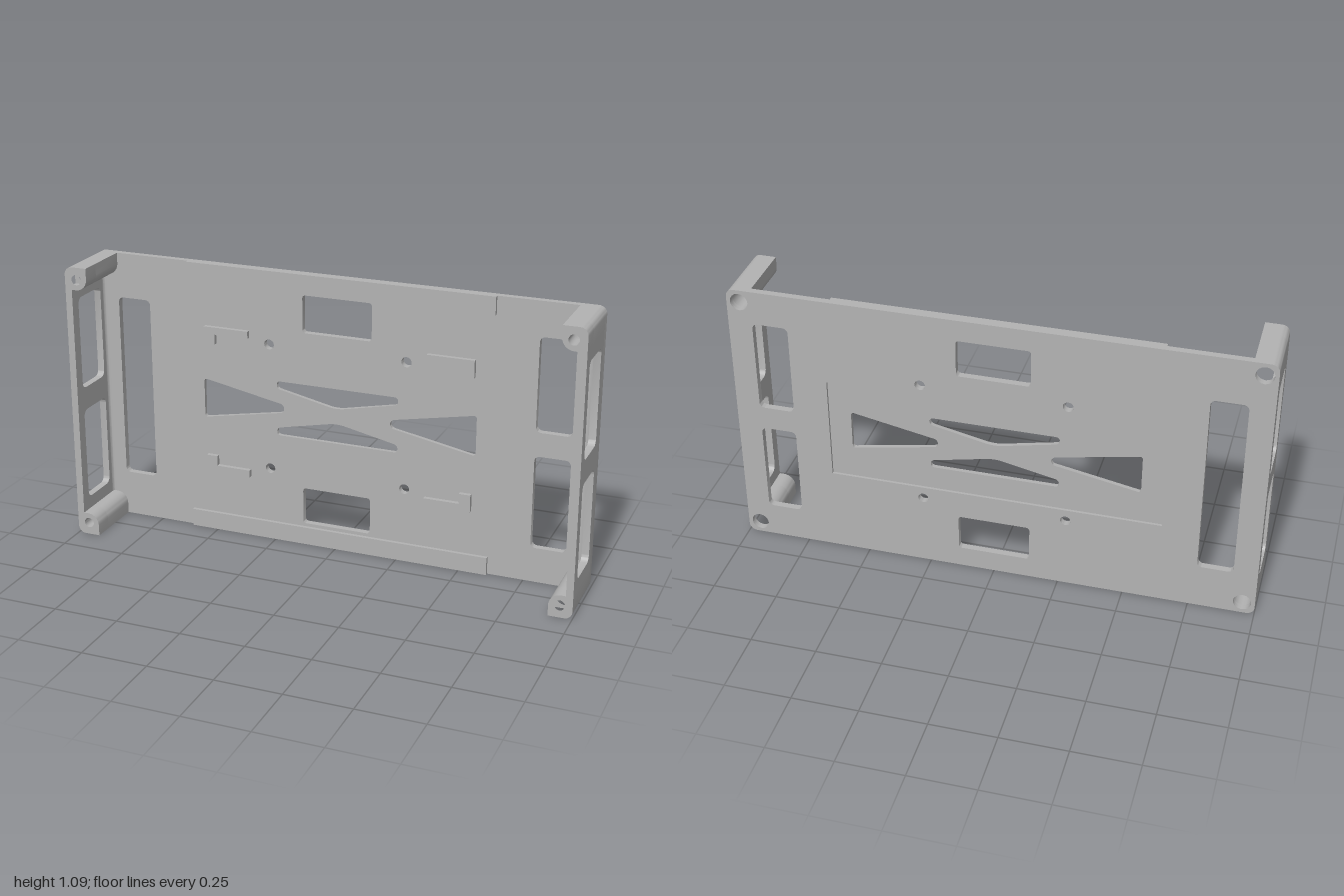
import * as THREE from 'three';
import { toCreasedNormals } from 'three/addons/utils/BufferGeometryUtils.js';

const H = 1.09, MID = H / 2;
const BACK = -0.135, RECESS = -0.125, FACE = -0.109, FRONT = 0.135;

// Closed polygon with each corner rounded; r is one radius or one per corner
function roundPoly(pts, r, Type = THREE.Path) {
  const p = pts.map(([x, y]) => new THREE.Vector2(x, y));
  const path = new Type();
  p.forEach((c, i) => {
    const prev = p[(i + p.length - 1) % p.length], next = p[(i + 1) % p.length];
    const rad = Array.isArray(r) ? r[i] : r;
    const a = c.clone().add(prev.clone().sub(c).setLength(rad));
    const b = c.clone().add(next.clone().sub(c).setLength(rad));
    if (i === 0) path.moveTo(a.x, a.y); else path.lineTo(a.x, a.y);
    if (rad > 0) {
      const k = 0.55; // handle length that approximates a circular arc
      const h1 = a.clone().lerp(c, k), h2 = b.clone().lerp(c, k);
      path.bezierCurveTo(h1.x, h1.y, h2.x, h2.y, b.x, b.y);
    }
  });
  path.closePath();
  return path;
}
const rect = (x0, y0, x1, y1, r, Type) =>
  roundPoly([[x0, y0], [x1, y0], [x1, y1], [x0, y1]], r, Type);
const circle = (x, y, r) => new THREE.Path().absarc(x, y, r, 0, Math.PI * 2, true);
const flipY = (pts) => pts.map(([x, y]) => [x, H - y]);
const flipX = (pts) => pts.map(([x, y]) => [-x, y]);

export function createModel() {
  const group = new THREE.Group();
  const grey = new THREE.MeshStandardMaterial({ color: 0xb3b3b3 });
  grey.name = 'grey plastic';

  const add = (name, geometry) => {
    const mesh = new THREE.Mesh(toCreasedNormals(geometry, 0.6), grey);
    mesh.name = name;
    group.add(mesh);
    return mesh;
  };
  // Extrude a shape with holes between two z levels
  const slab = (name, shape, holes, z0, z1) => {
    shape.holes.push(...holes);
    const g = new THREE.ExtrudeGeometry(shape, { depth: z1 - z0, bevelEnabled: false, curveSegments: 8 });
    return add(name, g.translate(0, 0, z0));
  };

  // Openings shared by both layers of the base plate
  const plateHoles = () => {
    const holes = [
      rect(-0.91, 0.18, -0.775, 0.913, 0.02),
      rect(0.772, 0.138, 0.908, 0.502, 0.02),
      rect(0.772, 0.595, 0.908, 0.957, 0.02),
      rect(-0.138, 0.083, 0.138, 0.23, 0.012),
      rect(-0.138, 0.86, 0.138, 1.007, 0.012),
    ];
    for (const x of [-0.275, 0.275]) for (const y of [0.292, 0.798]) holes.push(circle(x, y, 0.02));
    for (const x of [-0.952, 0.952]) for (const y of [0.048, H - 0.048]) holes.push(circle(x, y, 0.034));
    return holes;
  };

  // Truss openings in the middle of the plate
  const side = [[-0.55, 0.467], [-0.215, 0.53], [-0.215, 0.562], [-0.55, 0.627]];
  const bow = [[-0.245, 0.655], [-0.245, 0.625], [0, 0.573], [0.245, 0.625], [0.245, 0.655]];
  const sideR = [0.012, 0.015, 0.015, 0.012], bowR = [0.014, 0.014, 0.03, 0.014, 0.014];
  const truss = [
    roundPoly(side, sideR), roundPoly(flipX(side), sideR),
    roundPoly(bow, bowR), roundPoly(flipY(bow), bowR),
  ];

  // Base plate: back layer with a shallow rectangular recess, front layer with the truss
  const outline = () => rect(-1, 0, 1, H, 0.03, THREE.Shape);
  slab('plateBack', outline(), [...plateHoles(), rect(-0.635, 0.34, 0.635, 0.75, 0)], BACK, RECESS);
  slab('plateFront', outline(), [...plateHoles(), ...truss], RECESS, FACE);

  // Rails along the top and bottom edges
  for (const [name, y] of [['bottomRail', 0], ['topRail', H - 0.07]])
    slab(name, rect(-0.61, y, 0.61, y + 0.07, 0, THREE.Shape), [], FACE, -0.095);

  // Four L-shaped locating brackets
  const ell = [[-0.54, 0.775], [-0.495, 0.775], [-0.495, 0.815], [-0.357, 0.815], [-0.357, 0.843], [-0.54, 0.843]];
  for (const sx of [-1, 1]) for (const top of [true, false]) {
    let pts = sx < 0 ? ell : flipX(ell);
    if (!top) pts = flipY(pts);
    slab('locatingBracket', roundPoly(pts, 0, THREE.Shape), [], FACE, -0.092);
  }

  for (const s of [-1, 1]) {
    const label = s > 0 ? 'left' : 'right';

    // Corner posts: wide bore from the back, narrow screw hole at the front
    for (const top of [false, true]) {
      const y = (v) => (top ? H - v : v);
      const post = () => roundPoly(
        [[s, y(0)], [s * 0.91, y(0)], [s * 0.91, y(0.088)], [s, y(0.088)]],
        [0.03, 0, 0.045, 0], THREE.Shape);
      const name = label + (top ? 'Top' : 'Bottom') + 'Post';
      slab(name, post(), [circle(s * 0.952, y(0.048), 0.034)], FACE, 0.06);
      slab(name + 'End', post(), [circle(s * 0.952, y(0.048), 0.02)], 0.06, FRONT);
    }

    // Side wall with two windows, extruded across x
    const wall = rect(-FRONT, 0.086, -FACE, H - 0.086, 0, THREE.Shape);
    wall.holes.push(rect(-0.092, 0.137, 0.078, 0.502, 0.025), rect(-0.092, 0.592, 0.078, 0.957, 0.025));
    const g = new THREE.ExtrudeGeometry(wall, { depth: 0.027, bevelEnabled: false, curveSegments: 8 });
    add(label + 'Wall', g.rotateY(Math.PI / 2).translate(s > 0 ? 0.973 : -1, 0, 0));

    // Small fillet where the wall meets the plate
    const f = new THREE.Shape();
    const x = s * 0.973, xi = s * 0.961;
    f.moveTo(x, -FACE);
    f.lineTo(xi, -FACE);
    f.quadraticCurveTo(x, -FACE, x, -FACE - 0.012);
    const fg = new THREE.ExtrudeGeometry(f, { depth: H - 0.172, bevelEnabled: false, curveSegments: 4 });
    add(label + 'Fillet', fg.rotateX(-Math.PI / 2).translate(0, 0.086, 0));
  }
  return group;
}
